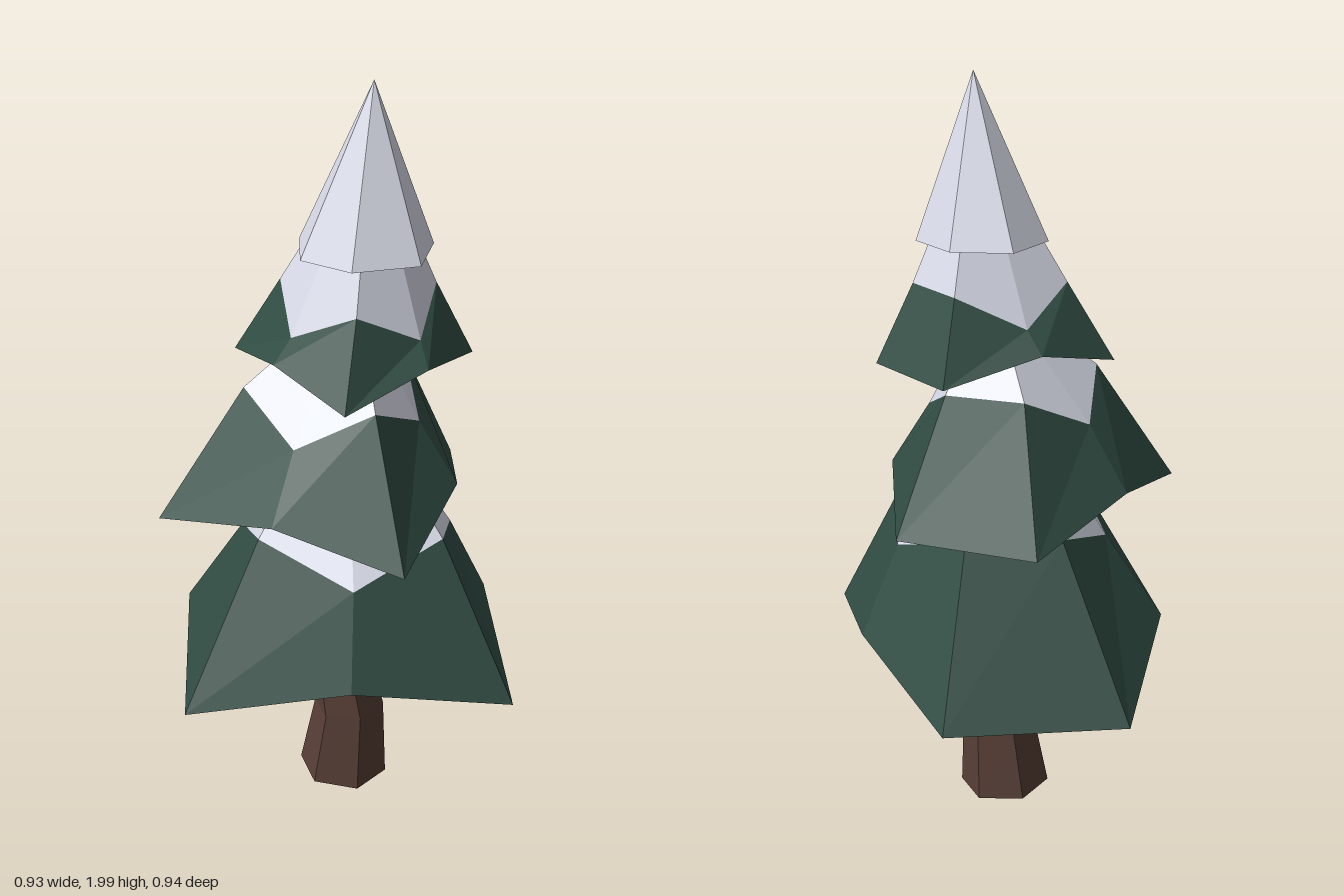
import * as THREE from 'three';

const mat = (name, color) => {
  const m = new THREE.MeshStandardMaterial({ color, flatShading: true });
  m.name = name;
  return m;
};

// Flat-shaded mesh from a list of corner points, three per triangle
function facets(name, points, material) {
  const g = new THREE.BufferGeometry();
  g.setAttribute('position', new THREE.Float32BufferAttribute(points.flat(), 3));
  g.computeVertexNormals();
  const mesh = new THREE.Mesh(g, material);
  mesh.name = name;
  return mesh;
}

// Band of faces between two rings (counter-clockwise seen from above)
function band(lower, upper) {
  const out = [];
  lower.forEach((a, i) => {
    const j = (i + 1) % lower.length;
    out.push(a, lower[j], upper[j], a, upper[j], upper[i]);
  });
  return out;
}

// Fan from a ring to one point, facing up or down
function fan(ring, tip, up = true) {
  const out = [];
  ring.forEach((a, i) => {
    const b = ring[(i + 1) % ring.length];
    out.push(...(up ? [a, b, tip] : [b, a, tip]));
  });
  return out;
}

// Each tier has seven corners: hanging tips (true) and raised notches
const TIPS = [true, false, true, false, true, true, false];
const ring = (xz, tipY, notchY) => xz.map(([x, z], i) => [x, TIPS[i] ? tipY : notchY, z]);

export function createModel() {
  const root = new THREE.Group();
  root.name = 'snowyPine';
  const snow = mat('snow', 0xd8dbe8);
  const green = mat('needles', 0x314d44);
  const bark = mat('bark', 0x583f37);

  // Bent six-sided trunk: [centre x, y, centre z, radius x, radius z, tilt]
  const trunkRings = [
    [-0.033, 0.013, 0.037, 0.122, 0.118, -0.06],
    [-0.013, 0.242, 0.046, 0.096, 0.098, 0.06],
    [-0.075, 0.64, 0.04, 0.07, 0.075, 0],
  ].map(([cx, y, cz, rx, rz, tilt]) => Array.from({ length: 6 }, (_, i) => {
    const a = (i * Math.PI) / 3;
    const dx = Math.cos(a) * rx;
    return [cx + dx, y + dx * tilt, cz - Math.sin(a) * rz];
  }));
  root.add(facets('trunk', [
    ...band(trunkRings[0], trunkRings[1]),
    ...band(trunkRings[1], trunkRings[2]),
    ...fan(trunkRings[0], [-0.033, 0.013, 0.037], false),
  ], bark));

  // Branch tiers: green skirt with a zigzag snow line and a snow cap
  const tiers = [
    {
      name: 'lowerTier', rimY: [0.455, 0.55], lineY: [0.875, 0.785],
      rim: [[-0.355, 0.47], [0.07, 0.435], [0.46, 0.27], [0.33, -0.14], [0.07, -0.475], [-0.39, -0.38], [-0.455, 0.06]],
      line: [[-0.2, 0.27], [0.055, 0.33], [0.255, 0.18], [0.24, -0.07], [0.04, -0.24], [-0.2, -0.19], [-0.3, 0.05]],
      under: [-0.02, 0.59, 0.02], apex: [-0.02, 1.23, 0.03],
    },
    {
      name: 'middleTier', rimY: [0.89, 0.97], lineY: [1.233, 1.138],
      rim: [[-0.468, 0.24], [-0.14, 0.37], [0.195, 0.41], [0.272, 0.06], [0.21, -0.27], [-0.15, -0.355], [-0.355, -0.095]],
      line: [[-0.26, 0.14], [-0.105, 0.27], [0.09, 0.23], [0.17, 0.055], [0.1, -0.14], [-0.1, -0.175], [-0.255, -0.055]],
      under: [-0.05, 1, 0.03], apex: [0, 1.47, 0.035],
    },
    {
      name: 'upperTier', rimY: [1.285, 1.343], lineY: [1.485, 1.4],
      rim: [[-0.31, 0.025], [-0.16, 0.23], [0.04, 0.357], [0.21, 0.19], [0.285, -0.065], [0.09, -0.25], [-0.14, -0.14]],
      line: [[-0.187, 0.03], [-0.125, 0.19], [0.045, 0.24], [0.183, 0.145], [0.195, -0.022], [0.075, -0.14], [-0.1, -0.11]],
      under: [0.01, 1.36, 0.05], apex: [0.045, 1.87, 0.05],
    },
  ];
  for (const t of tiers) {
    const rim = ring(t.rim, ...t.rimY);
    const line = ring(t.line, ...t.lineY);
    const tier = new THREE.Group();
    tier.name = t.name;
    tier.add(
      facets('branches', [...band(rim, line), ...fan(rim, t.under, false)], green),
      facets('snowCap', fan(line, t.apex), snow),
    );
    root.add(tier);
  }

  // Snowy peak with a slightly overhanging base
  const peak = [[-0.14, 0.02], [-0.105, 0.165], [0.03, 0.22], [0.182, 0.148], [0.188, -0.01], [0.09, -0.11], [-0.065, -0.105]]
    .map(([x, z]) => [x, 1.59, z]);
  root.add(facets('snowPeak', [
    ...fan(peak, [0.05, 2, 0.05]),
    ...fan(peak, [0.03, 1.59, 0.05], false),
  ], snow));

  return root;
}
